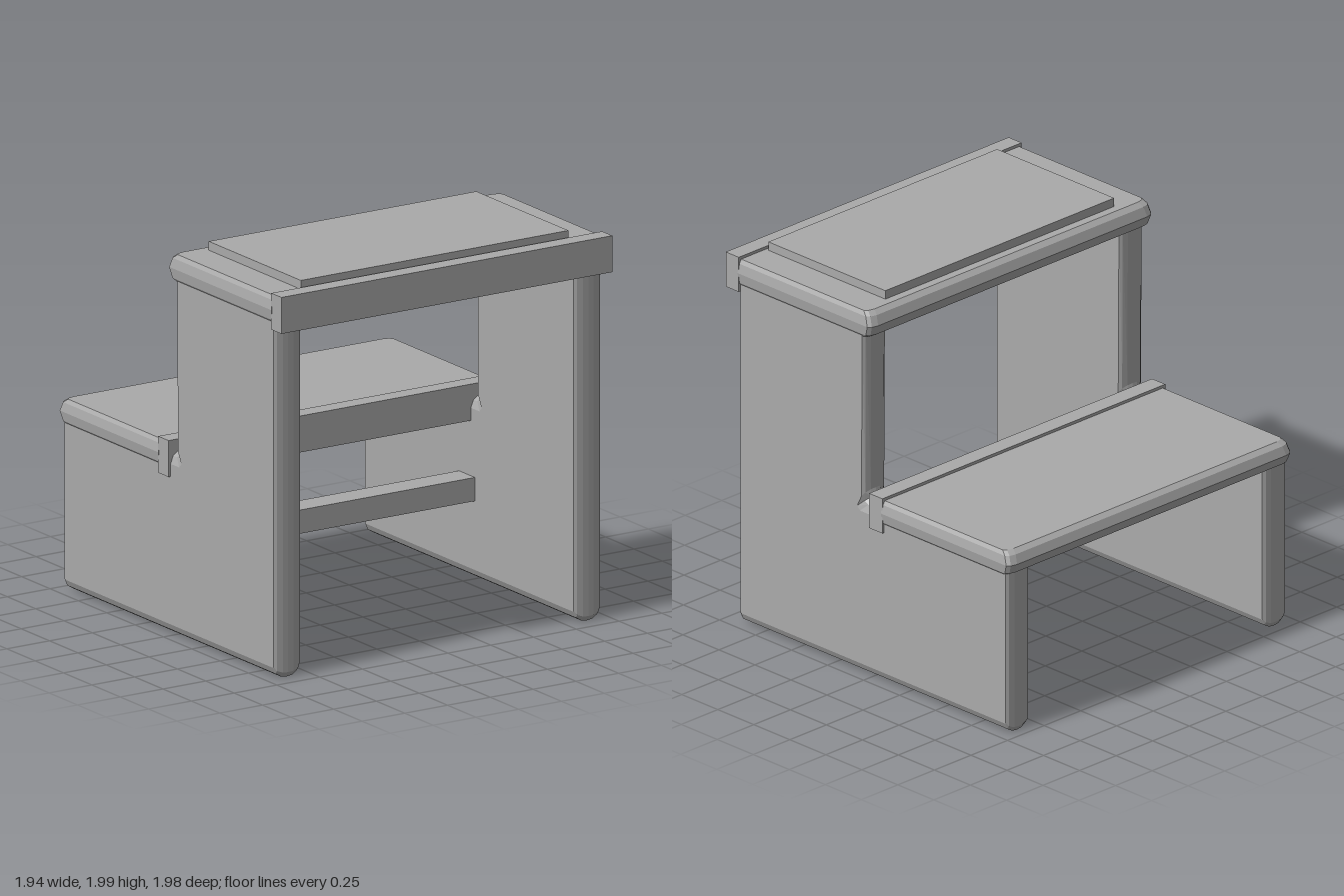
import * as THREE from 'three';

// Skin a stack of equal-length loops of [x, y, z] points and cap both ends.
function loft(loops, capPoints) {
  const n = loops[0].length;
  const pos = loops.flat(2);
  const idx = [];
  for (let k = 0; k < loops.length - 1; k++) {
    for (let i = 0; i < n; i++) {
      const a = k * n + i, b = k * n + (i + 1) % n;
      idx.push(a, b, b + n, a, b + n, a + n);
    }
  }
  const last = (loops.length - 1) * n;
  for (const [a, b, c] of THREE.ShapeUtils.triangulateShape(capPoints, [])) {
    idx.push(a, c, b, last + a, last + b, last + c);
  }
  const g = new THREE.BufferGeometry();
  g.setAttribute('position', new THREE.Float32BufferAttribute(pos, 3));
  g.setIndex(idx);
  const flat = g.toNonIndexed();
  flat.computeVertexNormals();
  return flat;
}

// Stepped side panel: each outline corner is [z, y, inset z, inset y].
function panelGeometry() {
  const outline = [
    [0.9, 0.01, 0.895, 0.065], [0.915, 0.035, 0.9, 0.07],
    [0.915, 1.88, 0.9, 1.84], [0.04, 1.88, 0.055, 1.84],
    [0.04, 0.99, 0.06, 0.96], [0.03, 0.955, 0.09, 0.9], [0, 0.945, 0.07, 0.88],
    [-0.94, 0.93, -0.93, 0.88], [-0.955, 0.91, -0.94, 0.87],
    [-0.955, 0.035, -0.94, 0.07], [-0.94, 0.01, -0.935, 0.065],
  ];
  const layers = [[-1, 1], [-0.8, 0.4], [-0.4, 0.06], [0, 0], [0.4, 0.06], [0.8, 0.4], [1, 1]];
  // Counter-clockwise as seen from +x
  const loops = layers.map(([s, t]) => outline.map(([z, y, iz, iy]) =>
    [s * 0.0775, y + (iy - y) * t, z + (iz - z) * t]).reverse());
  const cap = loops[0].map(([, y, z]) => new THREE.Vector2(y, z));
  return loft(orient(loops, cap), cap);
}

// Tread: square front end, rounded nose toward the back, chamfered corners.
function treadGeometry(y0, height, zFront, zBack) {
  const layers = [[0, 1], [0.12, 0.4], [0.5, 0], [0.85, 0.4], [1, 1]];
  const loops = layers.map(([s, t]) => {
    const w = 0.97 - 0.02 * t, b = zBack + 0.045 * t, y = y0 + s * height;
    return [[-w, y, zFront], [w, y, zFront], [w, y, b + 0.025], [w - 0.015, y, b + 0.008],
      [w - 0.05, y, b], [-w + 0.05, y, b], [-w + 0.015, y, b + 0.008], [-w, y, b + 0.025]];
  });
  const cap = loops[0].map(([x, , z]) => new THREE.Vector2(z, x));
  return loft(orient(loops, cap), cap);
}

// Make loops and their cap outline run counter-clockwise.
function orient(loops, cap) {
  if (THREE.ShapeUtils.area(cap) < 0) {
    cap.reverse();
    loops.forEach((l) => l.reverse());
  }
  return loops;
}

export function createModel() {
  const group = new THREE.Group();
  const grey = new THREE.MeshStandardMaterial({ color: 0xaaaaaa });
  grey.name = 'grey';

  const add = (name, geometry, x = 0, y = 0, z = 0) => {
    const mesh = new THREE.Mesh(geometry, grey);
    mesh.name = name;
    mesh.position.set(x, y, z);
    group.add(mesh);
  };
  const addBox = (name, halfWidth, y0, y1, z0, z1) => add(name,
    new THREE.BoxGeometry(halfWidth * 2, y1 - y0, z1 - z0), 0, (y0 + y1) / 2, (z0 + z1) / 2);

  // Side panels
  const panel = panelGeometry();
  add('leftPanel', panel, 0.8775);
  add('rightPanel', panel, -0.8775);

  // Treads
  add('upperTread', treadGeometry(1.815, 0.14, 0.905, -0.02));
  add('lowerTread', treadGeometry(0.855, 0.13, -0.09, -0.985));

  // Boards behind each tread, the stretcher and the top pad
  addBox('upperRail', 0.967, 1.785, 1.97, 0.9, 0.99);
  addBox('lowerRail', 0.967, 0.815, 1.0, -0.097, -0.005);
  addBox('stretcher', 0.81, 0.415, 0.535, -0.11, 0.03);
  addBox('topPad', 0.782, 1.94, 2.0, 0.07, 0.882);

  return group;
}
